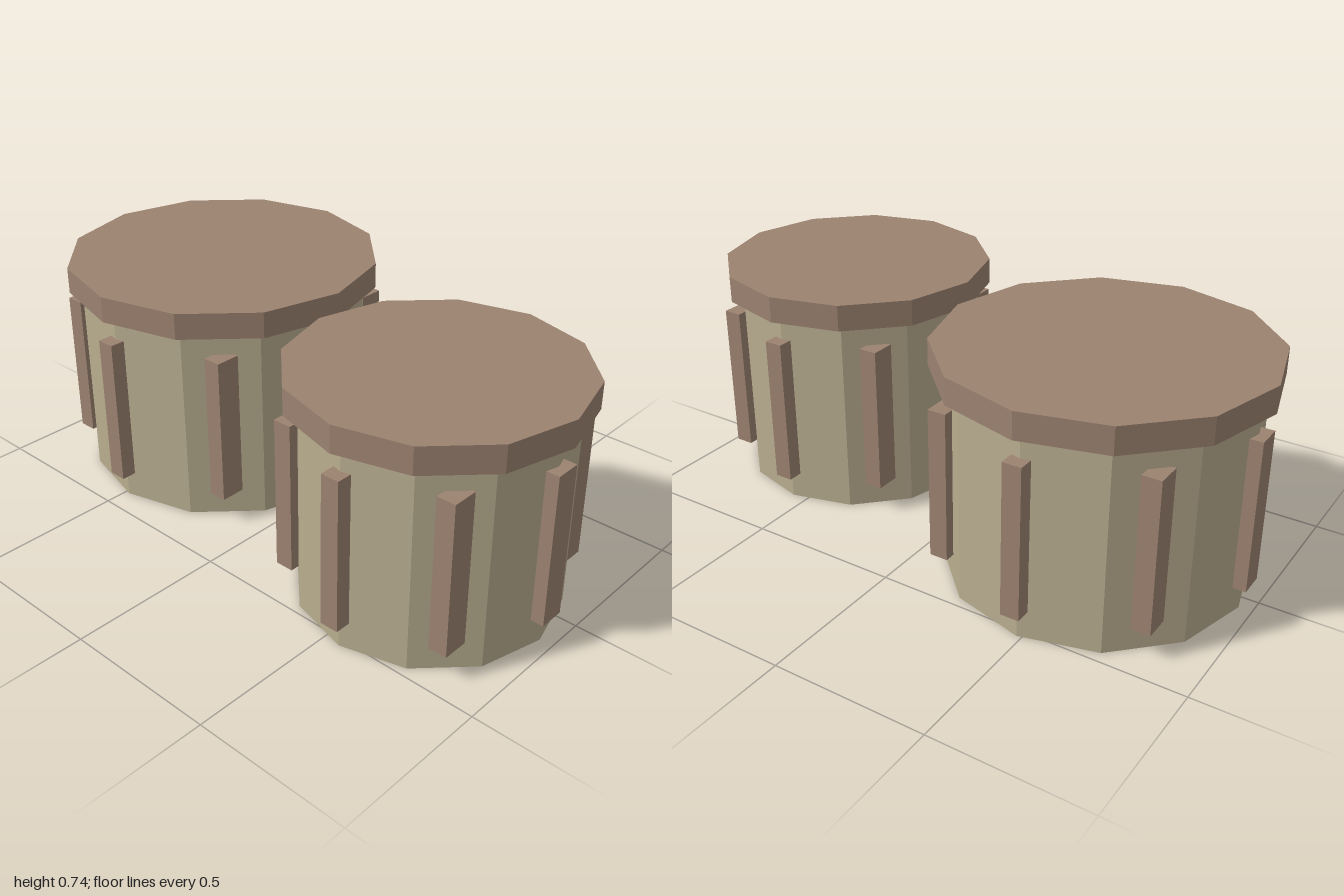
import * as THREE from 'three';

const shellMaterial = new THREE.MeshStandardMaterial({ color: 0xb8ad8f, flatShading: true });
const trimMaterial = new THREE.MeshStandardMaterial({ color: 0x9c8270, flatShading: true });

const BODY_HEIGHT = 0.65;
const CAP_HEIGHT = 0.085;
const SIDES = 12;
const LUGS = 8;

function addMesh(parent, name, geometry, material, x, y, z) {
  const mesh = new THREE.Mesh(geometry, material);
  mesh.name = name;
  mesh.position.set(x, y, z);
  parent.add(mesh);
}

function createDrum(name, bodyRadius, capRadius) {
  const drum = new THREE.Group();
  drum.name = name;

  // Twelve-sided shell and overhanging head
  addMesh(drum, 'shell', new THREE.CylinderGeometry(bodyRadius, bodyRadius, BODY_HEIGHT, SIDES),
    shellMaterial, 0, BODY_HEIGHT / 2, 0);
  addMesh(drum, 'head', new THREE.CylinderGeometry(capRadius, capRadius, CAP_HEIGHT, SIDES),
    trimMaterial, 0, BODY_HEIGHT + CAP_HEIGHT / 2, 0);

  // Upright lugs around the shell, all kept square to the axes
  const lugGeometry = new THREE.BoxGeometry(0.06, 0.488, 0.083);
  for (let i = 0; i < LUGS; i++) {
    const angle = (i / LUGS) * Math.PI * 2;
    addMesh(drum, 'lug', lugGeometry, trimMaterial,
      Math.sin(angle) * bodyRadius, 0.333, Math.cos(angle) * bodyRadius);
  }
  return drum;
}

export function createModel() {
  const model = new THREE.Group();
  model.name = 'drumPair';

  const largeDrum = createDrum('largeDrum', 0.474, 0.516);
  largeDrum.position.set(-0.484, 0, -0.052);

  const smallDrum = createDrum('smallDrum', 0.403, 0.445);
  smallDrum.position.set(0.555, 0, 0.122);

  model.add(largeDrum, smallDrum);
  return model;
}
